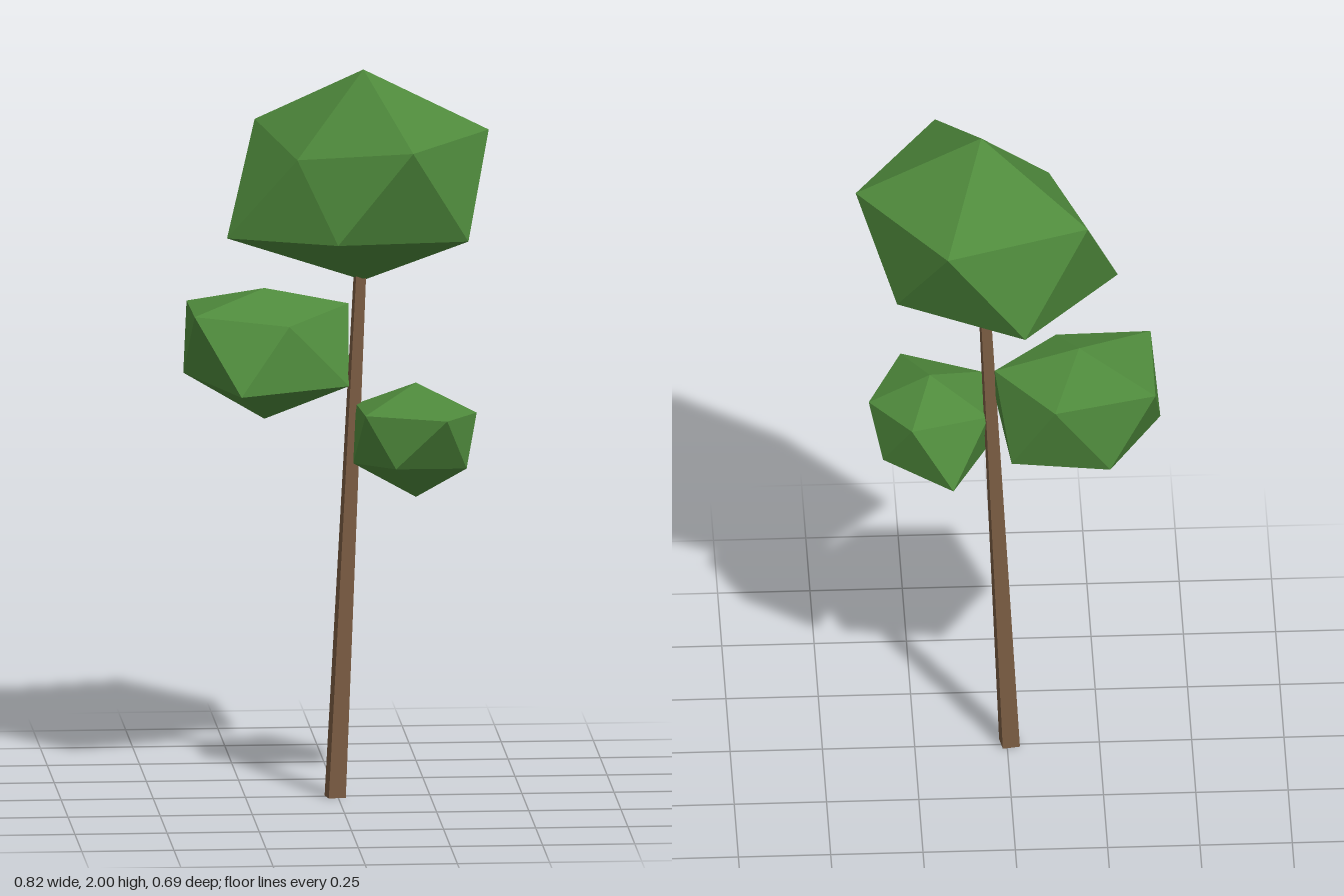
import * as THREE from 'three';

// Faceted leaf clump: top point, upper ring of five, lower ring of five, bottom point
function clumpGeometry(top, upper, lower, bottom) {
  const pos = [];
  const tri = (a, b, c) => pos.push(...a, ...b, ...c);
  for (let i = 0; i < 5; i++) {
    const j = (i + 1) % 5;
    tri(top, upper[j], upper[i]);
    tri(upper[i], upper[j], lower[i]);
    tri(lower[i], upper[j], lower[j]);
    tri(bottom, lower[i], lower[j]);
  }
  const g = new THREE.BufferGeometry();
  g.setAttribute('position', new THREE.Float32BufferAttribute(pos, 3));
  g.computeVertexNormals();
  return g;
}

export function createModel() {
  const tree = new THREE.Group();
  tree.name = 'tree';
  const bark = new THREE.MeshStandardMaterial({ color: 0x7a5c42 });
  bark.name = 'bark brown';
  const leaf = new THREE.MeshStandardMaterial({ color: 0x4f8a3c });
  leaf.name = 'leaf green';

  const add = (name, geometry, material) => {
    const mesh = new THREE.Mesh(geometry, material);
    mesh.name = name;
    tree.add(mesh);
  };

  // Leaning, tapered four-sided trunk
  const height = 1.6;
  let trunk = new THREE.CylinderGeometry(0.018, 0.0335, height, 4);
  trunk.rotateY(Math.PI / 4 + 0.17);
  trunk.translate(0, height / 2, 0);
  const p = trunk.attributes.position;
  for (let i = 0; i < p.count; i++) {
    p.setX(i, p.getX(i) - 0.007 + 0.047 * p.getY(i));
    p.setZ(i, p.getZ(i) + 0.007 * (1 - p.getY(i) / height));
  }
  trunk = trunk.toNonIndexed();
  trunk.computeVertexNormals();
  add('trunk', trunk, bark);

  // Large crown on top of the trunk
  add('topCrown', clumpGeometry(
    [0.07, 2, 0],
    [[0.41, 1.83, 0], [0.18, 1.83, 0.34], [-0.12, 1.78, 0.145], [-0.21, 1.83, -0.2], [0.175, 1.825, -0.325]],
    [[0.34, 1.56, 0.2], [-0.02, 1.57, 0.29], [-0.3, 1.54, 0], [-0.035, 1.555, -0.32], [0.305, 1.575, -0.165]],
    [0.07, 1.42, 0]), leaf);

  // Middle clump, behind and to the -x side
  add('middleClump', clumpGeometry(
    [-0.19, 1.38, -0.115],
    [[0.04, 1.33, -0.14], [-0.135, 1.305, 0.06], [-0.39, 1.33, 0.03], [-0.39, 1.32, -0.265], [-0.115, 1.325, -0.345]],
    [[0.03, 1.13, 0.01], [-0.27, 1.125, 0.13], [-0.41, 1.15, -0.115], [-0.265, 1.12, -0.32], [0, 1.12, -0.28]],
    [-0.19, 1.02, -0.115]), leaf);

  // Small clump, in front and to the +x side
  add('lowClump', clumpGeometry(
    [0.205, 1.155, 0.1],
    [[0.37, 1.07, 0.1], [0.275, 1.085, 0.305], [0.06, 1.085, 0.21], [0.05, 1.08, 0], [0.26, 1.08, -0.06]],
    [[0.335, 0.935, 0.2], [0.14, 0.945, 0.25], [0.035, 0.935, 0.1], [0.15, 0.915, -0.11], [0.335, 0.935, 0.02]],
    [0.205, 0.84, 0.1]), leaf);

  return tree;
}
